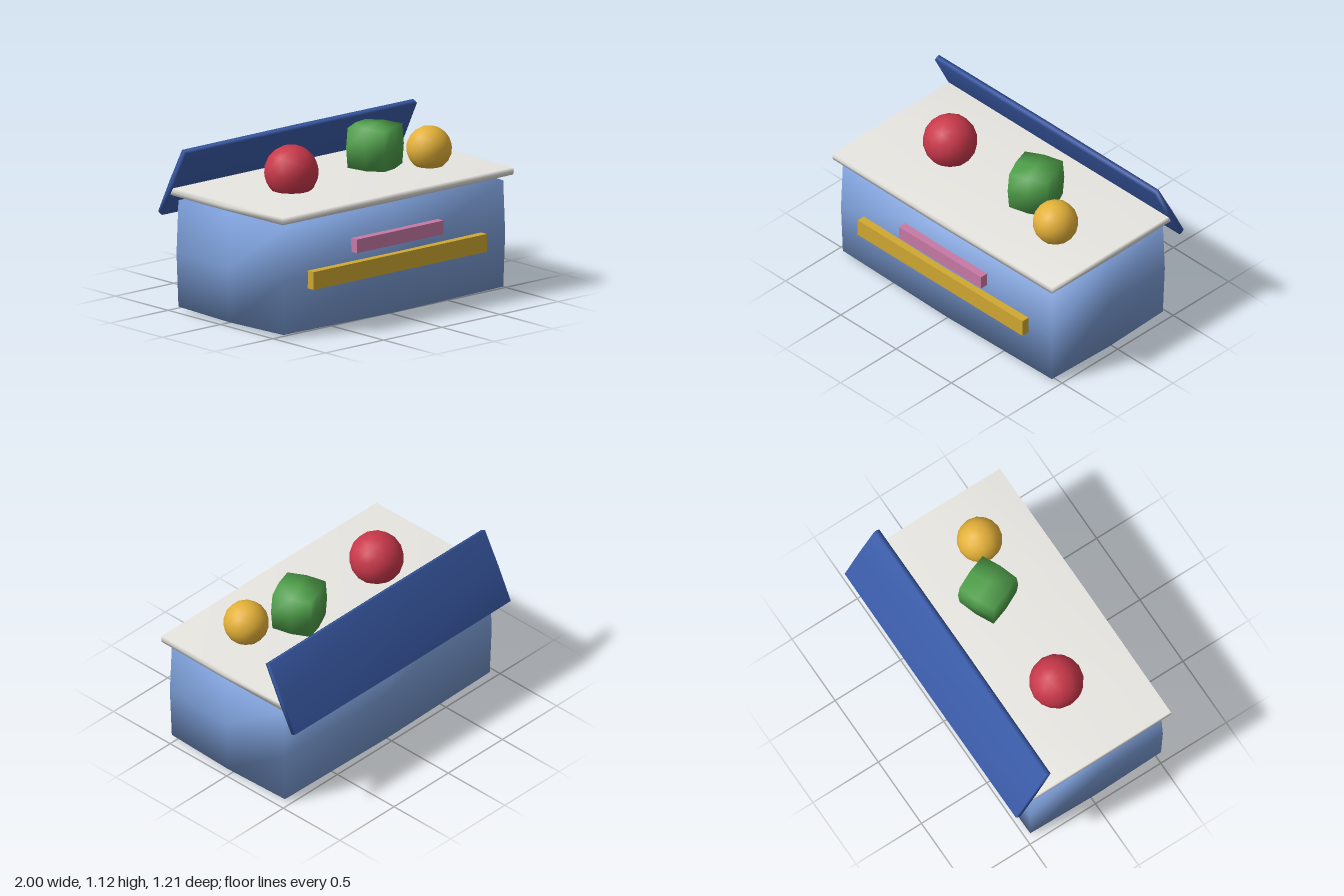
import * as THREE from 'three';
import { mergeVertices } from 'three/addons/utils/BufferGeometryUtils.js';

// Box with gently swollen faces and fully smooth normals
function softBox(w, h, d, bulge) {
  const g = new THREE.BoxGeometry(w, h, d, 2, 2, 2);
  g.deleteAttribute('uv');
  g.deleteAttribute('normal');
  const soft = mergeVertices(g);
  const p = soft.attributes.position;
  for (let i = 0; i < p.count; i++) {
    const s = [p.getX(i) / (w / 2), p.getY(i) / (h / 2), p.getZ(i) / (d / 2)].map(Math.round);
    const sides = Math.abs(s[0]) + Math.abs(s[1]) + Math.abs(s[2]);
    const push = bulge * [0, 1, 0.4, 0][sides];
    p.setXYZ(i, p.getX(i) + s[0] * push, p.getY(i) + s[1] * push, p.getZ(i) + s[2] * push);
  }
  soft.computeVertexNormals();
  return soft;
}

export function createModel() {
  const model = new THREE.Group();
  const add = (name, geometry, color, x, y, z) => {
    const mesh = new THREE.Mesh(geometry, new THREE.MeshStandardMaterial({ color }));
    mesh.name = name;
    mesh.position.set(x, y, z);
    model.add(mesh);
    return mesh;
  };

  // Chest body and the pale rim slab on top
  add('chestBody', softBox(1.89, 0.7, 1.0, 0.022), 0x7d9fd9, 0, 0.376, 0.038);
  add('rimSlab', softBox(1.98, 0.047, 1.085, 0.008), 0xe8e6e1, 0, 0.788, 0.04);

  // Open lid leaning back
  const lid = add('lid', softBox(1.985, 0.5, 0.042, 0.005), 0x3a5ba8, 0, 0.85, -0.47);
  lid.rotation.x = 0.473;

  // Toys
  add('redBall', new THREE.IcosahedronGeometry(0.176, 2), 0xc8384a, -0.45, 0.93, 0.065);
  add('yellowBall', new THREE.IcosahedronGeometry(0.147, 2), 0xe3b038, 0.625, 0.927, 0.187);
  const block = add('greenBlock', softBox(0.262, 0.262, 0.262, 0.018), 0x4f9f4a, 0.296, 0.97, 0.035);
  block.rotation.y = 0.39;

  // Front trim bars
  add('pinkBar', new THREE.BoxGeometry(0.744, 0.09, 0.065), 0xc87aa5, 0, 0.525, 0.572);
  add('yellowBar', new THREE.BoxGeometry(1.49, 0.117, 0.065), 0xd0a832, 0, 0.36, 0.572);

  return model;
}
